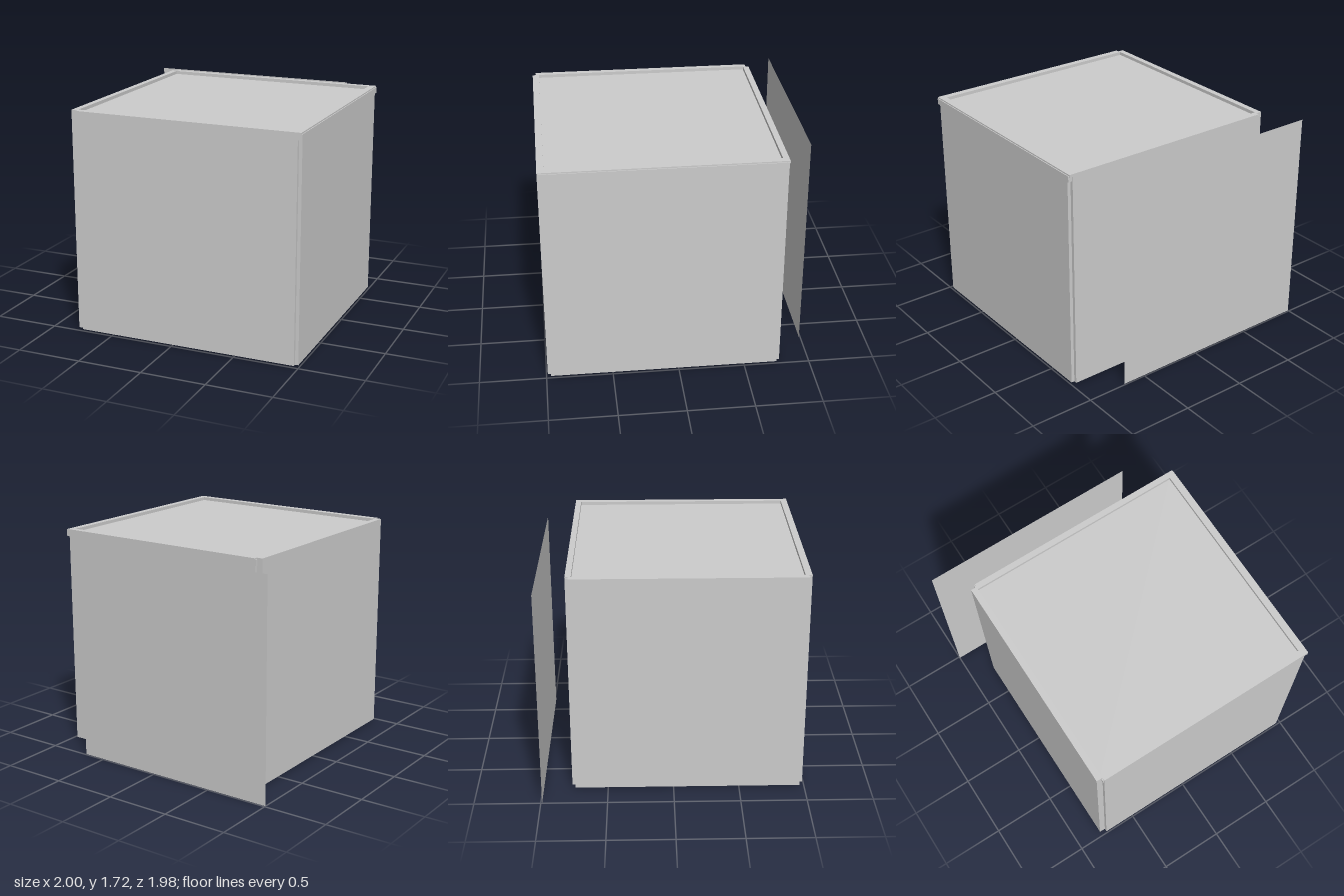
import * as THREE from 'three';

const grey = new THREE.MeshStandardMaterial({ color: 0xcccccc, flatShading: true });

// Outer limits of the box and of its opening, in plan
const X0 = -0.8, X1 = 0.99, Z0 = -0.775, Z1 = 0.99;
const IX0 = -0.755, IX1 = 0.94, IZ0 = -0.73, IZ1 = 0.94;
const BASE = 0.01, TOP = 1.72;

function add(group, name, geometry, material = grey) {
  const mesh = new THREE.Mesh(geometry, material);
  mesh.name = name;
  group.add(mesh);
  return mesh;
}

// Box given by its two opposite corners
function block(x0, x1, y0, y1, z0, z1) {
  return new THREE.BoxGeometry(x1 - x0, y1 - y0, z1 - z0)
    .translate((x0 + x1) / 2, (y0 + y1) / 2, (z0 + z1) / 2);
}

export function createModel() {
  const group = new THREE.Group();
  group.name = 'crate';

  // Walls: plan outline with a small square step at each corner, hollow inside
  const nl = 0.047, nr = 0.025, nz = 0.025;
  const outline = [
    [X0 + nl, Z1], [X1 - nr, Z1], [X1 - nr, Z1 - nz], [X1, Z1 - nz],
    [X1, Z0 + nz], [X1 - nr, Z0 + nz], [X1 - nr, Z0], [X0 + nl, Z0],
    [X0 + nl, Z0 + nz], [X0, Z0 + nz], [X0, Z1 - nz], [X0 + nl, Z1 - nz],
  ];
  const toPoints = (list) => list.map(([x, z]) => new THREE.Vector2(x, -z));
  const plan = new THREE.Shape(toPoints(outline));
  plan.holes.push(new THREE.Path(toPoints([[IX0, IZ0], [IX1, IZ0], [IX1, IZ1], [IX0, IZ1]])));
  const walls = new THREE.ExtrudeGeometry(plan, { depth: TOP - BASE, bevelEnabled: false });
  add(group, 'walls', walls.rotateX(-Math.PI / 2).translate(0, BASE, 0));

  // Recessed lid and raised floor inside the walls
  add(group, 'lid', block(IX0, IX1, 1.66, 1.695, IZ0, IZ1));
  add(group, 'floor', block(IX0, IX1, 0.46, 0.5, IZ0, IZ1));

  // Lip along the top of one side, with corner caps above it
  add(group, 'sideLip', block(0.965, 0.997, 1.665, 1.71, Z0 + 0.005, Z1 - 0.005));
  for (const z of [Z0, Z1 - nz]) {
    add(group, 'cornerCap', block(X1 - nr, X1, 1.7, TOP, z, z + nz));
    add(group, 'cornerTab', block(-0.762, -0.75, 1.665, 1.71, z + 0.003, z + nz - 0.003));
  }

  // Thin loose sheet standing behind the box
  const sheetMaterial = grey.clone();
  sheetMaterial.side = THREE.DoubleSide;
  const sheet = add(group, 'backSheet', new THREE.PlaneGeometry(1.68, 1.685), sheetMaterial);
  sheet.position.set(-0.16, 0.8425, -0.99);

  return group;
}
